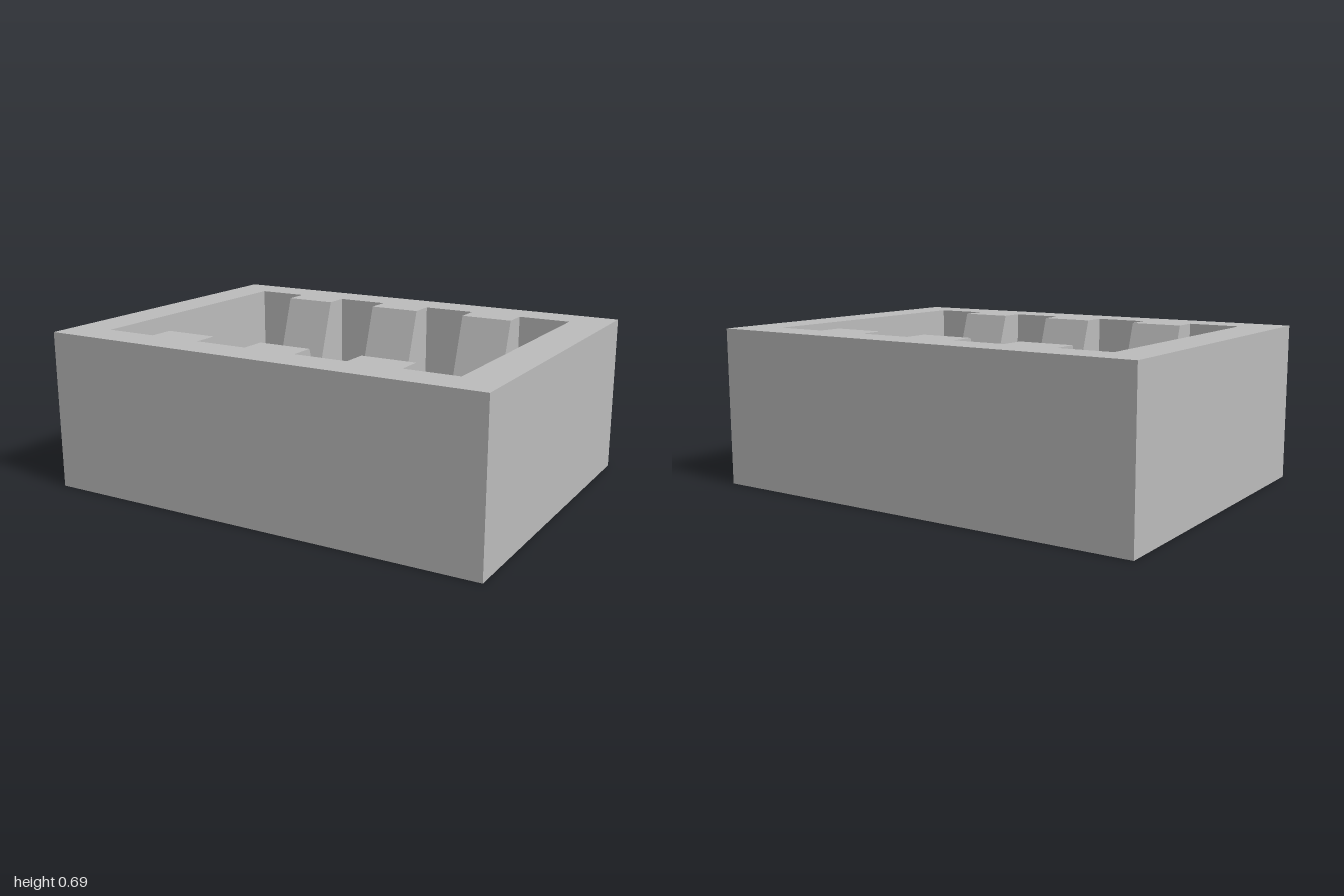
import * as THREE from 'three';

const WIDTH = 2, DEPTH = 1.49, HEIGHT = 0.695;
const CAVITY_X = 0.825, CAVITY_Z = 0.585, FLOOR = 0.175;
const RIB_WIDTH = 0.236, RIB_SPACING = 0.472;

function rectangle(path, hx, hy) {
  path.moveTo(-hx, -hy);
  path.lineTo(hx, -hy);
  path.lineTo(hx, hy);
  path.lineTo(-hx, hy);
  path.closePath();
  return path;
}

export function createModel() {
  const model = new THREE.Group();
  model.name = 'ribbedTray';
  const grey = new THREE.MeshStandardMaterial({ color: 0xbcbcbc });
  grey.name = 'lightGrey';

  const add = (name, geometry) => {
    const mesh = new THREE.Mesh(geometry, grey);
    mesh.name = name;
    model.add(mesh);
    return mesh;
  };

  // Outer walls around the open cavity
  const outline = rectangle(new THREE.Shape(), WIDTH / 2, DEPTH / 2);
  outline.holes.push(rectangle(new THREE.Path(), CAVITY_X, CAVITY_Z));
  const walls = new THREE.ExtrudeGeometry(outline, { depth: HEIGHT, bevelEnabled: false });
  walls.rotateX(-Math.PI / 2);
  add('walls', walls);

  // Cavity floor
  add('floor', new THREE.BoxGeometry(2 * CAVITY_X, FLOOR, 2 * CAVITY_Z).translate(0, FLOOR / 2, 0));

  // Sloped ribs, narrow at the rim and wide at the floor
  const profile = new THREE.Shape([
    new THREE.Vector2(-CAVITY_Z, FLOOR),
    new THREE.Vector2(-0.305, FLOOR),
    new THREE.Vector2(-0.475, HEIGHT),
    new THREE.Vector2(-CAVITY_Z, HEIGHT),
  ]);
  const rib = new THREE.ExtrudeGeometry(profile, { depth: RIB_WIDTH, bevelEnabled: false });
  rib.translate(0, 0, -RIB_WIDTH / 2).rotateY(-Math.PI / 2);
  for (const i of [-1, 0, 1]) {
    add('backRib', rib).position.x = i * RIB_SPACING;
    const front = add('frontRib', rib);
    front.position.x = i * RIB_SPACING;
    front.rotation.y = Math.PI;
  }
  return model;
}
